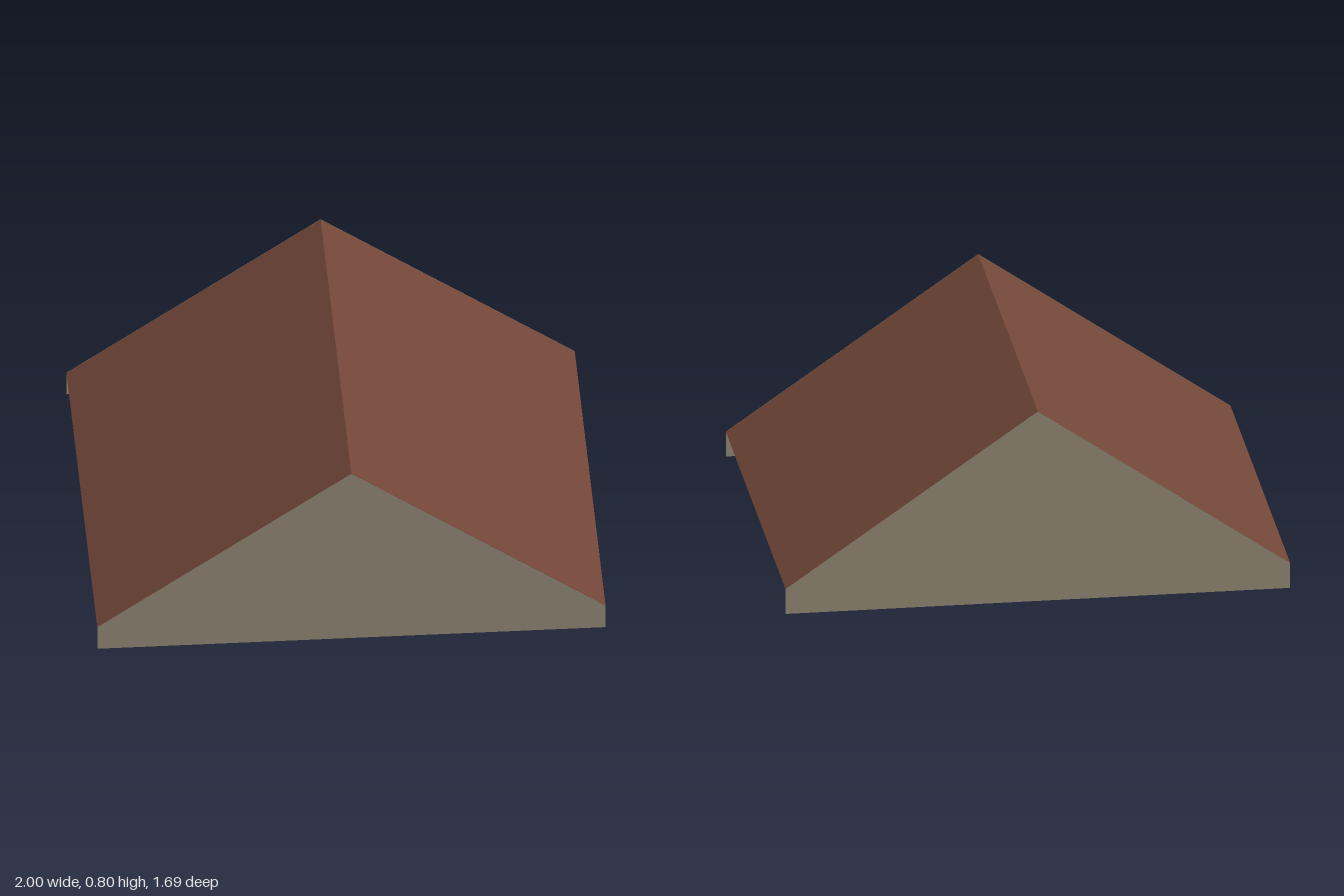
import * as THREE from 'three';

const HALF_W = 1, HALF_D = 0.845, EAVE = 0.105, RIDGE = 0.8;

function outline(points) {
  return new THREE.Shape(points.map(([x, y]) => new THREE.Vector2(x, y)));
}

export function createModel() {
  const model = new THREE.Group();
  model.name = 'gableRoof';

  const tiles = new THREE.MeshStandardMaterial({ color: 0x734739 });
  tiles.name = 'roofBrown';
  const plaster = new THREE.MeshStandardMaterial({ color: 0x8b816e, side: THREE.DoubleSide });
  plaster.name = 'plasterOlive';

  const add = (name, geometry, material, x, y, z) => {
    const mesh = new THREE.Mesh(geometry, material);
    mesh.name = name;
    mesh.position.set(x, y, z);
    model.add(mesh);
  };

  // Roof prism: two slopes and a flat ceiling, ending just inside the gables
  const depth = 2 * HALF_D - 0.004;
  const roofShape = outline([[-HALF_W, EAVE], [HALF_W, EAVE], [0, RIDGE]]);
  add('roof', new THREE.ExtrudeGeometry(roofShape, { depth, bevelEnabled: false }),
    tiles, 0, 0, -depth / 2);

  // Thin gable walls closing the front and back
  const gable = new THREE.ShapeGeometry(outline([
    [-HALF_W, 0], [HALF_W, 0], [HALF_W, EAVE], [0, RIDGE], [-HALF_W, EAVE],
  ]));
  add('frontGable', gable, plaster, 0, 0, HALF_D);
  add('backGable', gable, plaster, 0, 0, -HALF_D);

  // Beams under the ceiling, set in from the eaves
  const inner = 0.785, outer = 0.86;
  const beam = new THREE.BoxGeometry(outer - inner, EAVE, depth);
  for (const side of [-1, 1]) {
    add(side > 0 ? 'leftBeam' : 'rightBeam', beam, plaster,
      side * (inner + outer) / 2, EAVE / 2, 0);
  }
  return model;
}
